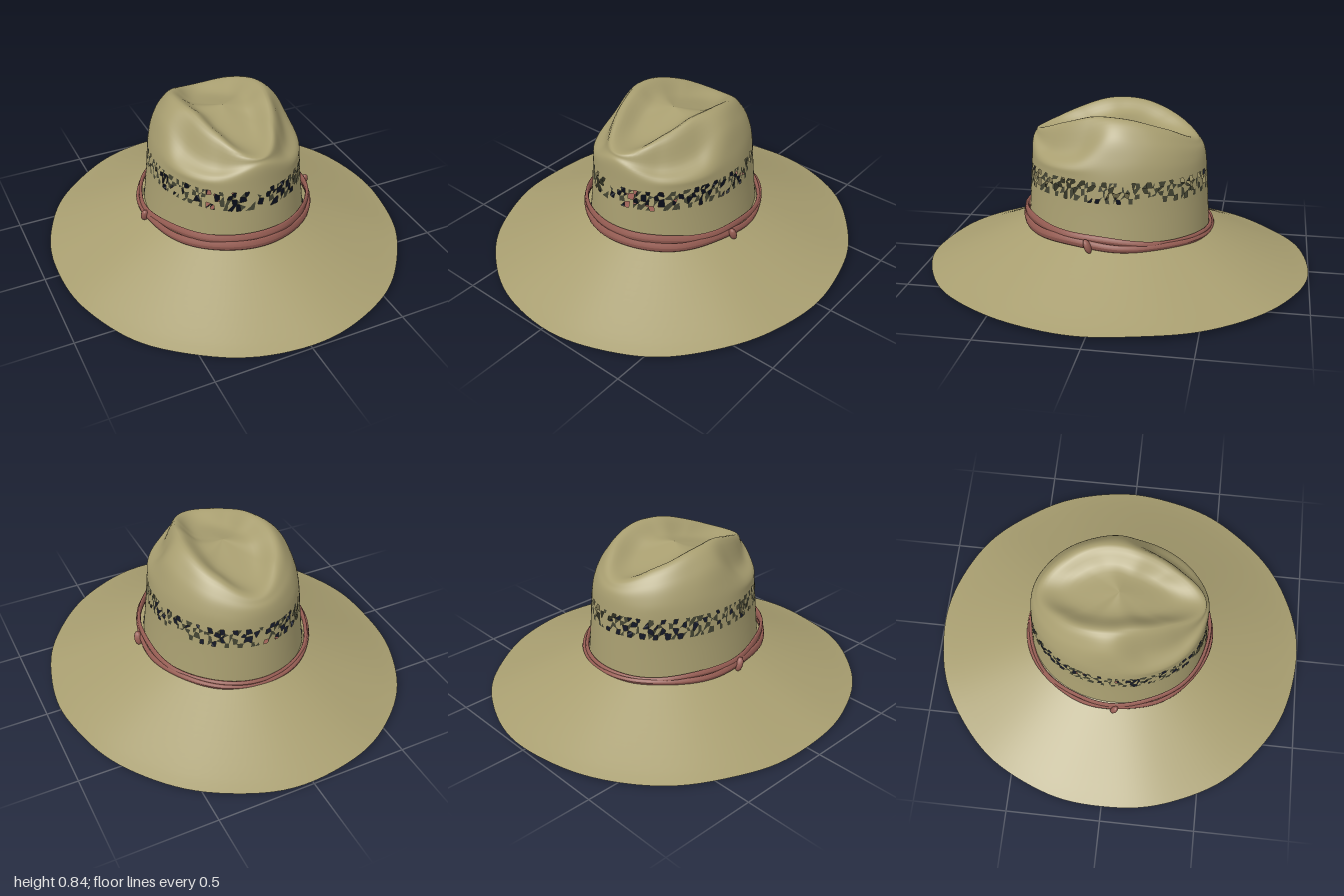
import * as THREE from 'three';

const material = (name, color) => {
  const m = new THREE.MeshStandardMaterial({ color, side: THREE.DoubleSide });
  m.name = name;
  return m;
};

// Small seeded random source
function seeded(seed) {
  return () => {
    seed = (seed * 16807) % 2147483647;
    return seed / 2147483647;
  };
}

// Surface from rows of points; columns may wrap around, cells may be left open
function loft(rows, cols, wrap, point, open = () => false) {
  const n = wrap ? cols : cols + 1;
  const position = [], index = [];
  for (let i = 0; i <= rows; i++)
    for (let j = 0; j < n; j++) position.push(...point(i, j));
  for (let i = 0; i < rows; i++)
    for (let j = 0; j < cols; j++) {
      const k = (j + 1) % n;
      const a = i * n + j, b = i * n + k, c = a + n, d = b + n;
      if (!open(i, j, 0)) index.push(a, b, d);
      if (!open(i, j, 1)) index.push(a, d, c);
    }
  const g = new THREE.BufferGeometry();
  g.setAttribute('position', new THREE.Float32BufferAttribute(position, 3));
  g.setIndex(index);
  g.computeVertexNormals();
  return g;
}

// Radius of an ellipse at an angle measured from the front
const ellipse = (a, w, d) => 1 / Math.hypot(Math.sin(a) / w, Math.cos(a) / d);
const polar = (a, r, y) => [r * Math.sin(a), y, r * Math.cos(a)];

// Crown top every 30 degrees, front to back: shoulder, pinch, ridge, groove as r, y
const CROWN = [
  [0.45, 0.67, 0.435, 0.705, 0.41, 0.725, 0.25, 0.72],
  [0.42, 0.62, 0.365, 0.665, 0.295, 0.79, 0.17, 0.75],
  [0.38, 0.62, 0.31, 0.69, 0.23, 0.835, 0.12, 0.775],
  [0.352, 0.66, 0.305, 0.77, 0.22, 0.845, 0.12, 0.785],
  [0.37, 0.66, 0.325, 0.755, 0.25, 0.83, 0.14, 0.78],
  [0.415, 0.64, 0.38, 0.715, 0.31, 0.78, 0.19, 0.745],
  [0.445, 0.64, 0.425, 0.68, 0.385, 0.71, 0.25, 0.715],
];

function crownProfile(a) {
  const t = (a / (Math.PI * 2)) * 12, i = Math.floor(t), f = t - i;
  const key = (k) => { k = (k + 12) % 12; return CROWN[k > 6 ? 12 - k : k]; };
  const v = key(i).map((p1, n) => {
    const p0 = key(i - 1)[n], p2 = key(i + 1)[n], p3 = key(i + 2)[n];
    return p1 + 0.5 * f * (p2 - p0 + f * (2 * p0 - 5 * p1 + 4 * p2 - p3 + f * (3 * (p1 - p2) + p3 - p0)));
  });
  const pts = [
    [ellipse(a, 0.41, 0.475), 0.23],
    [ellipse(a, 0.39, 0.465), 0.4],
    [ellipse(a, 0.375, 0.455), 0.56],
    [v[0], v[1]], [v[2], v[3]], [v[4], v[5]], [v[6], v[7]], [0, 0.79],
  ];
  return new THREE.SplineCurve(pts.map((p) => new THREE.Vector2(...p)));
}

// Crown wall and top, plus the dark loose weave between its vent holes
function crownGeometries() {
  const cols = 132, rows = 42, step = (Math.PI * 2) / cols, rand = seeded(71);
  const table = (f) => Array.from({ length: rows * cols + cols }, f);
  const slide = table(() => rand() - 0.5), lift = table(() => rand() - 0.5), chance = table(rand);
  // Zigzag of slanted cells: 0 plain straw, 1 open, 2 dark weave
  const lean = { 8: 0, 9: 1, 10: 2, 11: 1 };
  const state = (i, j, half) => {
    if (!(i in lean)) return 0;
    const r = chance[i * cols + j];
    if ((j + lean[i]) % 3 === 0) return r < 0.45 ? 1 : r < 0.85 ? 2 : 0;
    if (half !== (j + i) % 2) return 0;
    return r < 0.1 ? 1 : r < 0.4 ? 2 : 0;
  };
  const point = (i, j) => {
    const loose = i > 8 && i < 12 ? 1 : 0, k = i * cols + j;
    const a = (j + loose * 0.8 * slide[k]) * step;
    const p = crownProfile((a + Math.PI * 2) % (Math.PI * 2)).getPoint((i + loose * 0.7 * lift[k]) / rows);
    return polar(a, Math.max(p.x, 0), p.y);
  };
  return [
    loft(rows, cols, true, point, (i, j, half) => state(i, j, half) !== 0),
    loft(rows, cols, true, point, (i, j, half) => state(i, j, half) !== 2),
  ];
}

function brimGeometry() {
  const cols = 120, rows = 14;
  return loft(rows, cols, true, (i, j) => {
    const a = (j / cols) * Math.PI * 2;
    const t = 1 - i / rows;
    const edge = ellipse(a, 0.928, 0.999) + 0.004 * (Math.sin(9 * a) * Math.cos(4 * a) - 0.2);
    const r = THREE.MathUtils.lerp(ellipse(a, 0.41, 0.475), edge, t);
    const wave = 0.006 * t * Math.sin(5 * a + 1) * Math.sin(3 * a);
    const y = 0.225 * Math.pow(1 - t, 1.1) + 0.019 + 0.011 * t * Math.sin(a) + wave;
    return polar(a, r, y);
  });
}

// One strand of the hat band: broad and high in front, thin and low behind
function strandGeometry(shift, phase) {
  const cols = 96, rows = 8;
  return loft(rows, cols, true, (i, j) => {
    const a = (j / cols) * Math.PI * 2, phi = (i / rows) * Math.PI * 2;
    const front = (1 + Math.cos(a)) / 2;
    const half = 0.014 + 0.014 * front;
    const y = 0.24 + 0.05 * front + shift * (0.005 + 0.014 * front) + 0.004 * Math.sin(5 * a + phase);
    const r = ellipse(a, 0.437, 0.488) - shift * 0.005 + 0.003 * Math.sin(7 * a + phase);
    return polar(a, r + 0.01 * Math.cos(phi), y + half * Math.sin(phi));
  });
}

// Flat ribbon along a path, twisting as it goes
function ribbonGeometry(points, width, twists) {
  const curve = new THREE.CatmullRomCurve3(points.map((p) => new THREE.Vector3(...p)));
  const steps = 70;
  return loft(steps, 2, false, (i, j) => {
    const t = i / steps;
    const p = curve.getPoint(t), dir = curve.getTangent(t);
    const side = new THREE.Vector3(-dir.z, 0, dir.x).normalize();
    const roll = 0.5 * Math.sin(t * Math.PI * twists);
    p.addScaledVector(side, (j - 1) * 0.5 * width * Math.cos(roll));
    p.y = Math.max(0.008, p.y + (j - 1) * 0.5 * width * Math.sin(roll));
    return p.toArray();
  });
}

export function createModel() {
  const hat = new THREE.Group();
  hat.name = 'sunHat';
  const straw = material('khaki straw', 0xa89e70);
  const cord = material('faded red cloth', 0x985e54);
  const lining = material('dark olive lining', 0x424332);
  const add = (name, geometry, mat) => {
    const mesh = new THREE.Mesh(geometry, mat);
    mesh.name = name;
    hat.add(mesh);
    return mesh;
  };

  const [crown, weave] = crownGeometries();
  add('crown', crown, straw);
  add('ventWeave', weave, lining);
  add('brim', brimGeometry(), straw);

  // Sweatband inside the crown, with a ragged upper edge
  add('sweatband', loft(3, 96, true, (i, j) => {
    const a = (j / 96) * Math.PI * 2;
    const rag = i === 3 ? 0.008 * Math.sin(17 * a) * Math.cos(5 * a) : 0;
    return polar(a, ellipse(a, 0.396, 0.461) - i * 0.005, 0.23 + i * 0.044 + rag);
  }), lining);

  // Hat band and its side knots
  add('upperBand', strandGeometry(1, 0), cord);
  add('lowerBand', strandGeometry(-1, 2), cord);
  for (const side of [-1, 1]) {
    const knot = add(side < 0 ? 'rightKnot' : 'leftKnot', new THREE.SphereGeometry(1, 10, 8), cord);
    knot.scale.set(0.022, 0.038, 0.018);
    knot.position.set(side * 0.45, 0.255, side < 0 ? 0.02 : 0.08);
    knot.rotation.x = 0.35;
  }

  // Chin strap hanging under the back of the brim, doubled over into a loose loop
  add('chinStrap', ribbonGeometry([
    [-0.5, 0.07, -0.59], [-0.31, 0.09, -0.6], [-0.13, 0.1, -0.6], [0.12, 0.1, -0.58],
    [0.33, 0.09, -0.49], [0.28, 0.045, -0.33], [0.15, 0.035, -0.24], [-0.17, 0.035, -0.07],
    [-0.31, 0.035, 0.01], [-0.4, 0.04, -0.1],
  ], 0.06, 5), cord);
  add('chinStrapLoop', ribbonGeometry([
    [-0.4, 0.04, -0.1], [-0.3, 0.05, -0.19], [-0.03, 0.04, -0.2], [0.08, 0.04, -0.32],
    [0.12, 0.05, -0.43], [0.2, 0.09, -0.52], [-0.02, 0.1, -0.63], [-0.22, 0.09, -0.64], [-0.42, 0.08, -0.61],
  ], 0.05, 4), cord);

  return hat;
}
